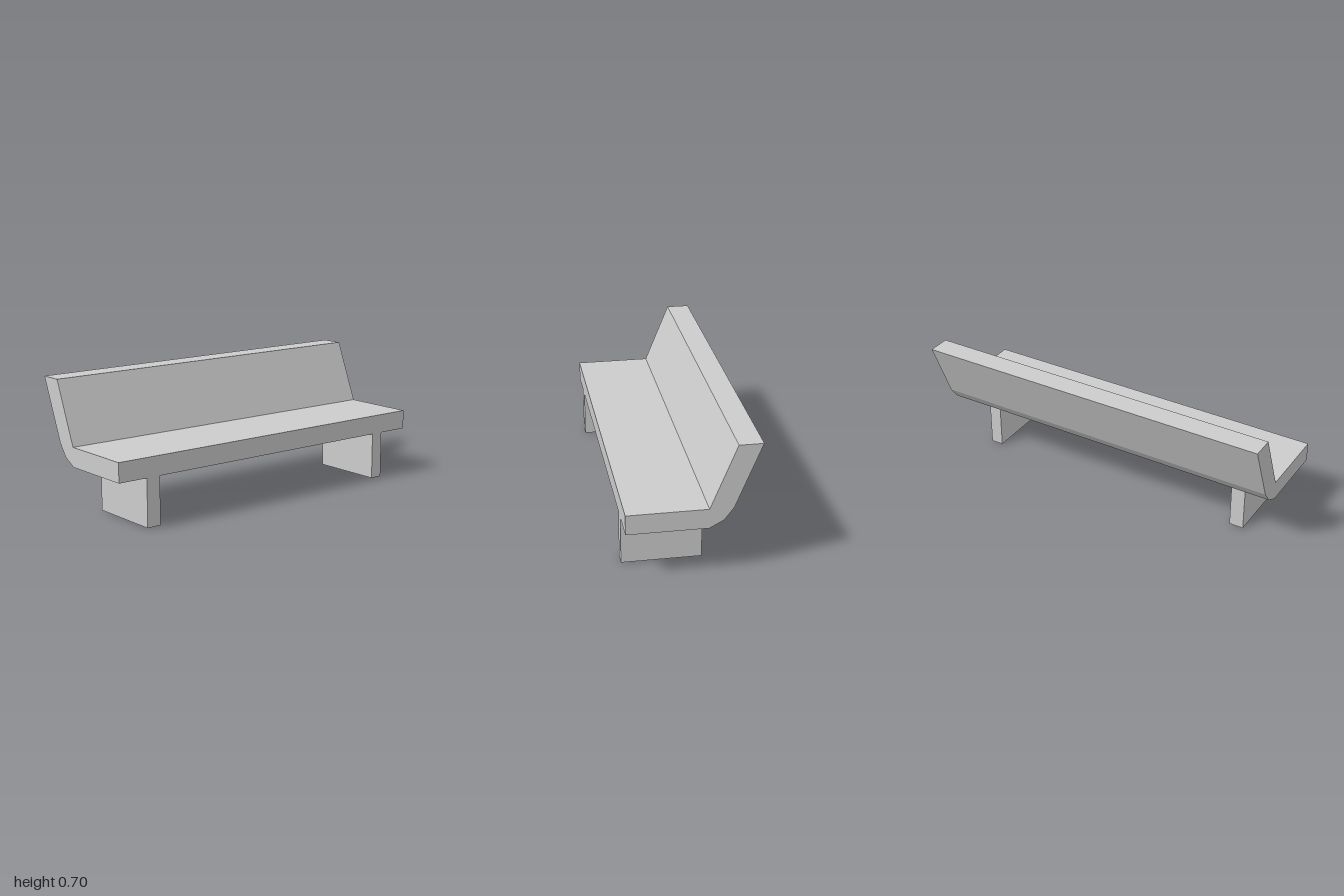
import * as THREE from 'three';

export function createModel() {
  const bench = new THREE.Group();
  bench.name = 'bench';
  const lightGrey = new THREE.MeshStandardMaterial({ color: 0xcccccc });
  lightGrey.name = 'lightGrey';

  // Seat and leaning backrest: one side profile, points are (z, y)
  const profile = new THREE.Shape([
    [0.34, 0.26], [0.34, 0.366], [-0.077, 0.366], [-0.215, 0.702],
    [-0.34, 0.702], [-0.201, 0.366], [-0.151, 0.3], [-0.077, 0.26],
  ].map(([z, y]) => new THREE.Vector2(z, y)));
  const seatGeometry = new THREE.ExtrudeGeometry(profile, { depth: 2, bevelEnabled: false });
  seatGeometry.rotateY(-Math.PI / 2).translate(1, 0, 0);
  const seat = new THREE.Mesh(seatGeometry, lightGrey);
  seat.name = 'seatAndBackrest';
  bench.add(seat);

  // Slab legs, flush with the front edge of the seat
  for (const [name, x0, x1] of [['rightLeg', -0.832, -0.752], ['leftLeg', 0.749, 0.82]]) {
    const leg = new THREE.Mesh(new THREE.BoxGeometry(x1 - x0, 0.26, 0.417), lightGrey);
    leg.position.set((x0 + x1) / 2, 0.13, 0.1315);
    leg.name = name;
    bench.add(leg);
  }
  return bench;
}
